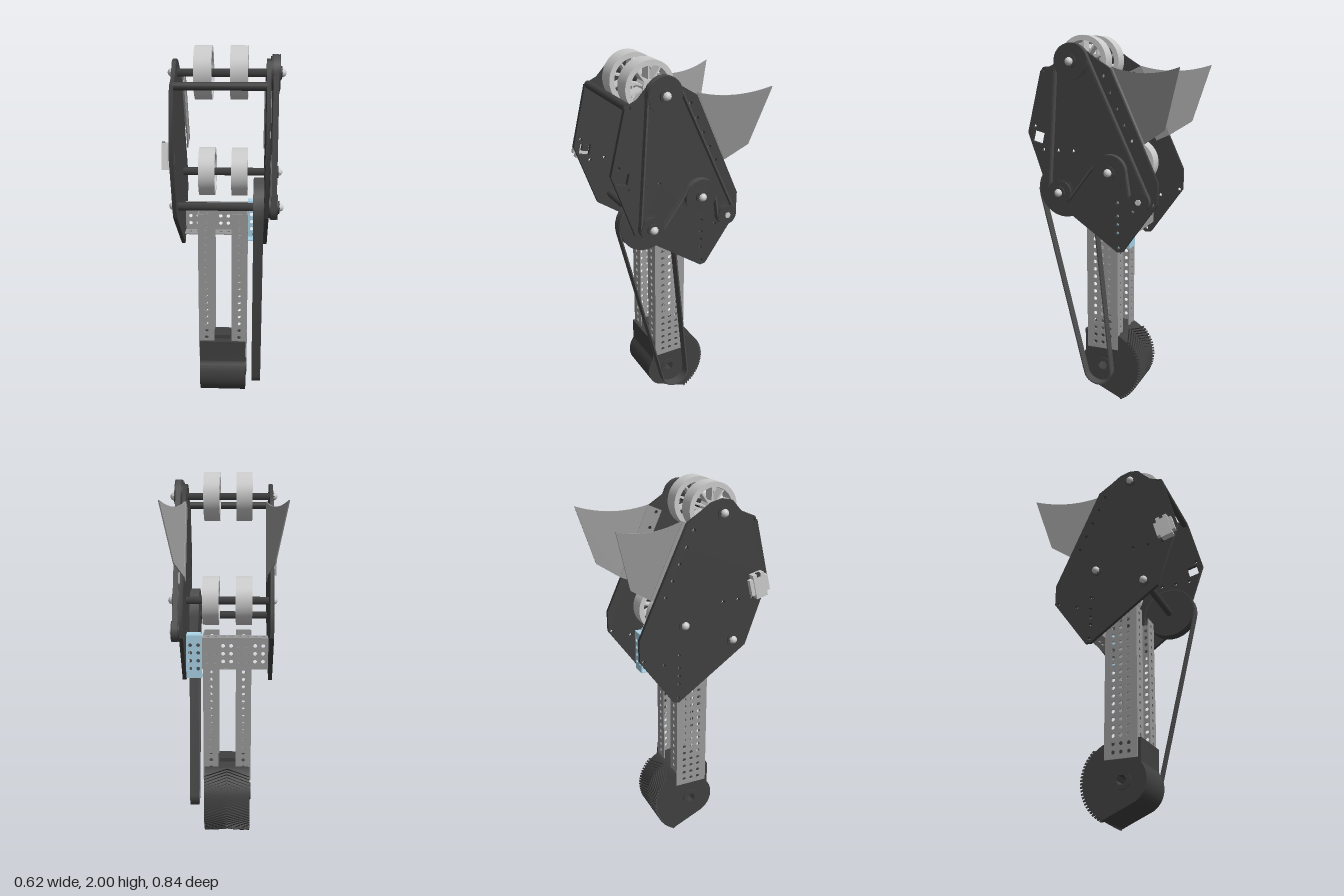
import * as THREE from 'three';
import { toCreasedNormals } from 'three/addons/utils/BufferGeometryUtils.js';

// Side profiles are drawn in (u, y) with u = -z and extruded along x.
const mat = (color) => new THREE.MeshStandardMaterial({ color, side: THREE.DoubleSide });

export function createModel() {
  const model = new THREE.Group();
  const dark = mat(0x404040), belt = mat(0x4c4c4c), metal = mat(0x999999);
  const light = mat(0xcccccc), blue = mat(0xa9d2e6);

  const add = (name, geo, material, parent = model) => {
    const mesh = new THREE.Mesh(geo, material);
    mesh.name = name;
    parent.add(mesh);
    return mesh;
  };
  const group = (name) => {
    const g = new THREE.Group();
    g.name = name;
    model.add(g);
    return g;
  };
  const extrude = (shape, depth, curveSegments = 6) => toCreasedNormals(
    new THREE.ExtrudeGeometry(shape, { depth, bevelEnabled: false, curveSegments }), 0.6);
  const sideways = (shape, x0, x1, segs) =>
    extrude(shape, x1 - x0, segs).rotateY(Math.PI / 2).translate(x0, 0, 0);
  const polygon = (pts) => new THREE.Shape(pts.map((p) => new THREE.Vector2(p[0], p[1])));
  const hole = (u, y, r) => new THREE.Path().absarc(u, y, r, 0, Math.PI * 2, true);
  const regular = (u, y, r, n, turn = 0) => new THREE.Path(Array.from({ length: n }, (_, i) => {
    const a = turn - i * 2 * Math.PI / n;
    return new THREE.Vector2(u + r * Math.cos(a), y + r * Math.sin(a));
  }));
  // Cylinder lying along x
  const disc = (u, y, r, x0, x1, segs = 32) => new THREE.CylinderGeometry(r, r, x1 - x0, segs)
    .rotateZ(-Math.PI / 2).translate((x0 + x1) / 2, y, -u);

  // Perforated sheet lying in the xy plane
  const panel = (w, h, cols, rows, pitch = 0.0425) => {
    const s = polygon([[-w / 2, -h / 2], [w / 2, -h / 2], [w / 2, h / 2], [-w / 2, h / 2]]);
    for (let i = 0; i < cols; i++) for (let j = 0; j < rows; j++)
      s.holes.push(hole((i - (cols - 1) / 2) * pitch, (j - (rows - 1) / 2) * pitch, 0.0105));
    return extrude(s, 0.006, 5).translate(0, 0, -0.003);
  };

  // Belt path around circles [u, y, r]; negative r wraps the opposite way
  const beltPath = (circles, grow) => {
    const c = circles.map(([u, y, r]) => ({ p: new THREE.Vector2(u, y), r: r + grow }));
    const n = c.length;
    const out = c.map((a, i) => {
      const b = c[(i + 1) % n], d = b.p.clone().sub(a.p), k = (a.r - b.r) / d.length();
      d.normalize();
      const w = Math.sqrt(1 - k * k);
      return Math.atan2(d.y * k - d.x * w, d.x * k + d.y * w);
    });
    const pts = [];
    c.forEach((a, i) => {
      const from = out[(i + n - 1) % n], dir = Math.sign(a.r);
      let sweep = (out[i] - from) * dir;
      while (sweep < 0) sweep += 2 * Math.PI;
      sweep %= 2 * Math.PI;
      for (let j = 0; j <= 16; j++) {
        const t = from + dir * sweep * j / 16;
        pts.push(new THREE.Vector2(a.p.x + a.r * Math.cos(t), a.p.y + a.r * Math.sin(t)));
      }
    });
    return pts;
  };
  const makeBelt = (name, circles, thick, x0, x1) => {
    const s = new THREE.Shape(beltPath(circles, thick));
    s.holes.push(new THREE.Path(beltPath(circles, 0)));
    add(name, sideways(s, x0, x1), belt);
  };

  const top = [-0.153, 1.873], mid = [0.05, 1.33], low = [-0.225, 1.21], tens = [0.21, 1.19];

  // Side plates
  const outline = [[-0.34, 1.825], [-0.42, 1.51], [-0.3, 1.17], [0.08, 0.905], [0.11, 0.91],
    [0.295, 1.17], [0.295, 1.285], [0.04, 1.84], [-0.04, 1.89], [-0.09, 1.925], [-0.15, 1.94],
    [-0.2, 1.93], [-0.235, 1.89], [-0.27, 1.855]];
  const small = [[-0.317, 1.825], [-0.38, 1.545], [-0.333, 1.423], [-0.25, 1.423], [-0.164, 1.423],
    [0.08, 1.17], [0.08, 1.1], [0.08, 1.055], [0.08, 1.01], [0.085, 0.93], [0.275, 1.17], [0.164, 1.13]];
  for (let i = 0; i < 5; i++) small.push([0.005 + i * 0.0375, 1.804 - i * 0.079]);
  for (const [name, x0] of [['leftPlate', 0.208], ['rightPlate', -0.252]]) {
    const s = polygon(outline);
    small.forEach(([u, y]) => s.holes.push(hole(u, y, 0.0095)));
    s.holes.push(regular(-0.36, 1.487, 0.042, 4, 0.55));
    add(name, sideways(s, x0, x0 + 0.02), dark);
  }

  // Axles with washers and bolt heads
  for (const [u, y] of [top, mid, low]) {
    const g = group('axle');
    add('rod', disc(u, y, 0.022, -0.262, 0.285, 6), dark, g);
    for (const [x, s] of [[-0.252, -1], [0.278, 1]]) {
      add('washer', disc(u, y, 0.033, x - 0.005, x + 0.005, 20), dark, g);
      add('boltHead', new THREE.SphereGeometry(0.021, 16, 8, 0, Math.PI * 2, 0, Math.PI / 2)
        .rotateZ(-s * Math.PI / 2).translate(x + s * 0.006, y, -u), light, g);
    }
  }
  add('frontSpacer', disc(-0.32, 1.825, 0.02, -0.24, 0.215, 16), dark);

  // Spoked rollers
  for (const [u, y] of [top, mid]) for (const x of [-0.1, 0.075]) {
    const g = group('rollerWheel'), h = 0.043;
    const ring = (ri, ro, w) => {
      const s = new THREE.Shape().absarc(u, y, ro, 0, Math.PI * 2);
      s.holes.push(hole(u, y, ri));
      return sideways(s, x - w, x + w, 24);
    };
    add('tyre', ring(0.104, 0.13, h), light, g);
    add('hub', ring(0.02, 0.036, h * 0.9), light, g);
    for (let i = 0; i < 10; i++)
      add('spoke', new THREE.BoxGeometry(0.06, 0.076, 0.009).translate(0, 0.07, 0)
        .rotateX(i * Math.PI / 5).translate(x, y, -u), light, g);
  }

  // Outer pulleys and the belt that snakes around them
  for (const [[u, y], r] of [[top, 0.08], [mid, 0.08], [low, 0.055], [tens, 0.045]]) {
    const g = group('outerPulley');
    add('drum', disc(u, y, r, 0.228, 0.274), dark, g);
    for (const x of [0.236, 0.272])
      add('flange', disc(u, y, r + 0.009, x - 0.002, x + 0.002), dark, g);
  }
  add('tensionerBolt', disc(tens[0], tens[1], 0.016, 0.27, 0.282, 6), light);
  makeBelt('outerBelt', [[...low, 0.056], [...mid, -0.09], [...tens, 0.046], [...top, 0.081]],
    0.009, 0.24, 0.268);

  // Long drive belt
  add('largePulley', disc(low[0], low[1], 0.143, 0.15, 0.204, 40), dark);
  makeBelt('driveBelt', [[-0.05, 0.2, 0.074], [...low, 0.144]], 0.007, 0.152, 0.202);

  // Flared guide fins, each with a perforated tab along the plate edge
  const edge = [[0.05, 1.845], [0.22, 1.475]];
  for (const [name, x0, s] of [['leftFin', 0.205, 1], ['rightFin', -0.216, -1]]) {
    const fin = new THREE.Shape().moveTo(...edge[1]).lineTo(0.335, 1.55).lineTo(0.42, 1.85)
      .quadraticCurveTo(0.235, 1.79, ...edge[0]);
    const geo = new THREE.ExtrudeGeometry(fin, { depth: 0.006, bevelEnabled: false, curveSegments: 12 })
      .rotateY(Math.PI / 2);
    const p = geo.attributes.position;
    for (let i = 0; i < p.count; i++) {
      const d = (-p.getZ(i) - edge[1][0]) * 0.909 + (p.getY(i) - edge[1][1]) * 0.418;
      p.setX(i, p.getX(i) + x0 + s * 0.28 * d);
    }
    geo.computeVertexNormals();
    add(name, geo, metal);
    const tab = polygon([edge[0], [-0.027, 1.81], [0.143, 1.44], edge[1]]);
    for (let i = 0; i < 5; i++) tab.holes.push(hole(0.005 + i * 0.0375, 1.804 - i * 0.079, 0.0095));
    add(name + 'Tab', sideways(tab, x0 - 0.003, x0 + 0.003), metal);
  }

  // Sensor on the right plate
  const sensor = group('sensor');
  add('body', new THREE.BoxGeometry(0.038, 0.13, 0.065), light, sensor);
  add('cap', new THREE.BoxGeometry(0.026, 0.085, 0.105), light, sensor);
  add('port', new THREE.BoxGeometry(0.016, 0.02, 0.02).translate(-0.012, 0.06, 0), dark, sensor);
  add('plug', new THREE.BoxGeometry(0.03, 0.035, 0.035).translate(0.02, 0, 0), dark, sensor);
  sensor.position.set(-0.271, 1.495, 0.355);
  sensor.rotation.x = -0.25;

  // Leg channels: wide web outside, narrow flanges front and back
  for (const [x, s] of [[-0.1, -1], [0.08, 1]]) {
    const g = group('legChannel'), y = 0.7225, h = 0.835;
    add('web', panel(0.18, h, 3, 19).rotateY(Math.PI / 2).translate(x + s * 0.0395, y, 0.048), metal, g);
    for (const z of [0.135, -0.039])
      add('flange', panel(0.085, h, 1, 19).translate(x, y, z), metal, g);
  }

  // Cross channel
  const cross = group('crossChannel');
  add('web', panel(0.352, 0.17, 8, 3).translate(-0.054, 1.055, -0.122), metal, cross);
  for (const y of [0.973, 1.137])
    add('flange', panel(0.352, 0.085, 8, 1).rotateX(Math.PI / 2).translate(-0.054, y, -0.083), metal, cross);

  // Blue joining bracket
  const bracket = group('bracket');
  add('web', panel(0.084, 0.23, 2, 4).translate(0.163, 1.04, -0.137), blue, bracket);
  add('side', panel(0.1, 0.23, 2, 4).rotateY(Math.PI / 2).translate(0.203, 1.04, -0.09), blue, bracket);
  for (const y of [0.928, 1.152])
    add('flange', panel(0.084, 0.07, 1, 1).rotateX(Math.PI / 2).translate(0.163, y, -0.105), blue, bracket);
  add('roundedRib', disc(0.09, 1.148, 0.018, 0.13, 0.204, 16), blue, bracket);

  // Foot: boot-shaped body, hubs with a hex bore, chevron tread on the back
  const foot = group('foot'), cu = -0.05, cy = 0.2, x0 = -0.137, x1 = 0.116;
  const boot = new THREE.Shape().absarc(cu, cy, 0.21, -1.08, 1.08).lineTo(-0.155, 0.405)
    .lineTo(-0.153, 0.29).absarc(cu, cy, 0.13, 2.5, 4.12);
  boot.closePath();
  boot.holes.push(regular(cu, cy, 0.027, 6));
  add('body', sideways(boot, x0, x1, 20), dark, foot);
  for (const x of [x0 - 0.006, x1]) {
    const s = new THREE.Shape().absarc(cu, cy, 0.048, 0, Math.PI * 2);
    s.holes.push(regular(cu, cy, 0.027, 6));
    add('hubRing', sideways(s, x, x + 0.006, 16), dark, foot);
  }
  add('topTab', new THREE.BoxGeometry(0.09, 0.02, 0.1).translate(-0.015, 0.41, 0.05), dark, foot);
  for (let i = 0; i < 24; i++) {
    const rib = new THREE.BoxGeometry(1, 1, 1, 8, 1, 1), p = rib.attributes.position;
    for (let j = 0; j < p.count; j++) {
      const x = p.getX(j), r = 0.214 + p.getY(j) * 0.016;
      const a = -1.05 + i * 0.08 + p.getZ(j) * 0.045 + (0.5 - Math.abs(x)) * 0.44;
      p.setXYZ(j, (x0 + x1) / 2 + x * (x1 - x0), cy + r * Math.sin(a), -(cu + r * Math.cos(a)));
    }
    rib.computeVertexNormals();
    add('treadRib', rib, dark, foot);
  }
  return model;
}
